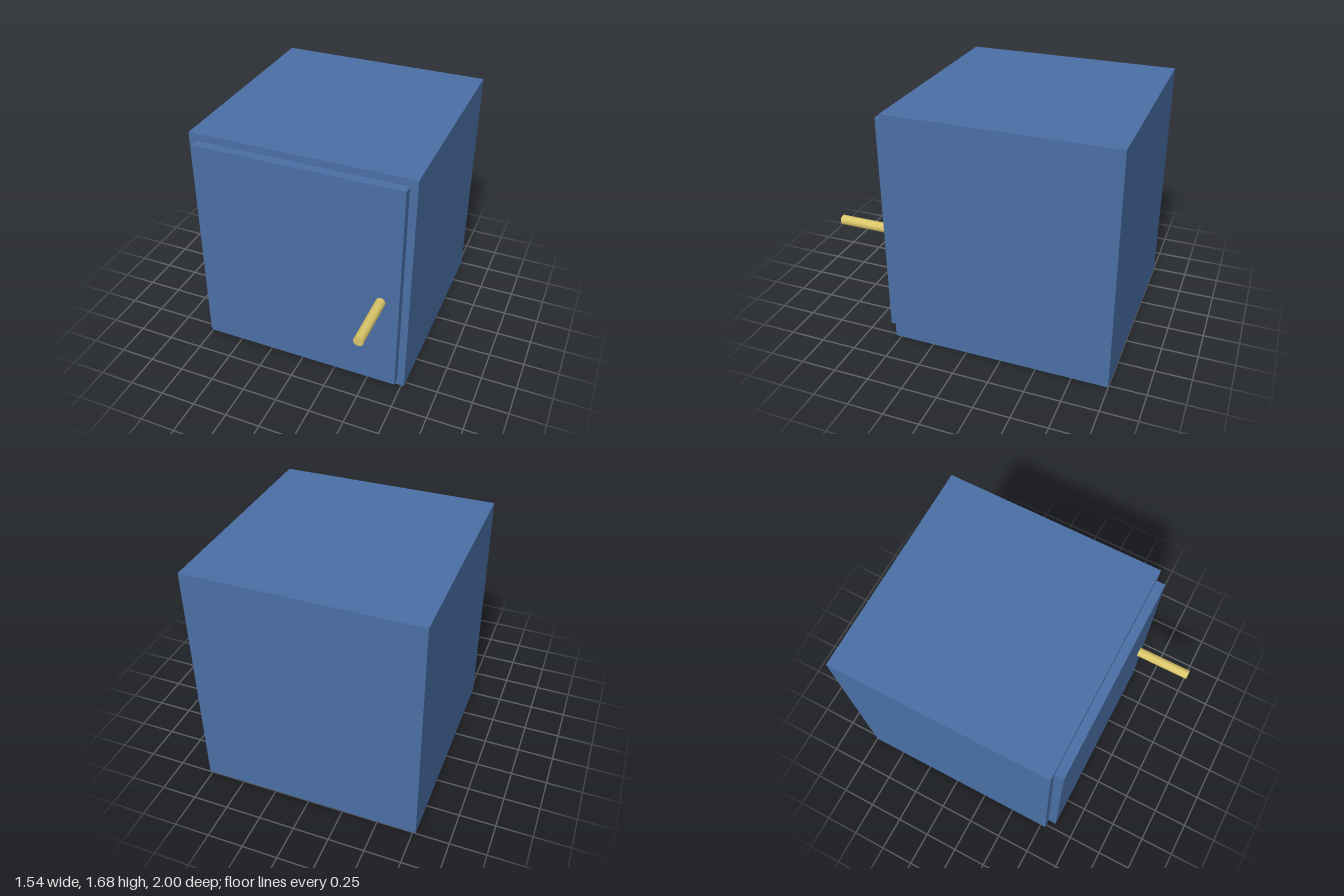
import * as THREE from 'three';

const blue = new THREE.MeshStandardMaterial({ color: 0x4a6fa5 });
const brass = new THREE.MeshStandardMaterial({ color: 0xd9c56a });
const dark = new THREE.MeshStandardMaterial({ color: 0x222222 });

export function createModel() {
  const model = new THREE.Group();
  model.name = 'cabinet';

  const add = (name, geometry, material, x, y, z) => {
    const mesh = new THREE.Mesh(geometry, material);
    mesh.name = name;
    mesh.position.set(x, y, z);
    model.add(mesh);
    return mesh;
  };

  // Cabinet body and the door slab on its front
  add('body', new THREE.BoxGeometry(1.54, 1.678, 1.54), blue, 0, 0.841, -0.23);
  add('door', new THREE.BoxGeometry(1.436, 1.57, 0.08), blue, 0, 0.843, 0.563);

  // Long round handle standing straight out of the door
  const handle = add('handle', new THREE.CylinderGeometry(0.034, 0.034, 0.41, 32), brass, 0.592, 0.76, 0.795);
  handle.rotation.x = Math.PI / 2;

  // Four round feet, almost flush with the underside
  const footGeometry = new THREE.CylinderGeometry(0.07, 0.07, 0.04, 24);
  for (const x of [-0.56, 0.56]) {
    for (const z of [-0.79, 0.33]) add('foot', footGeometry, dark, x, 0.02, z);
  }

  return model;
}
